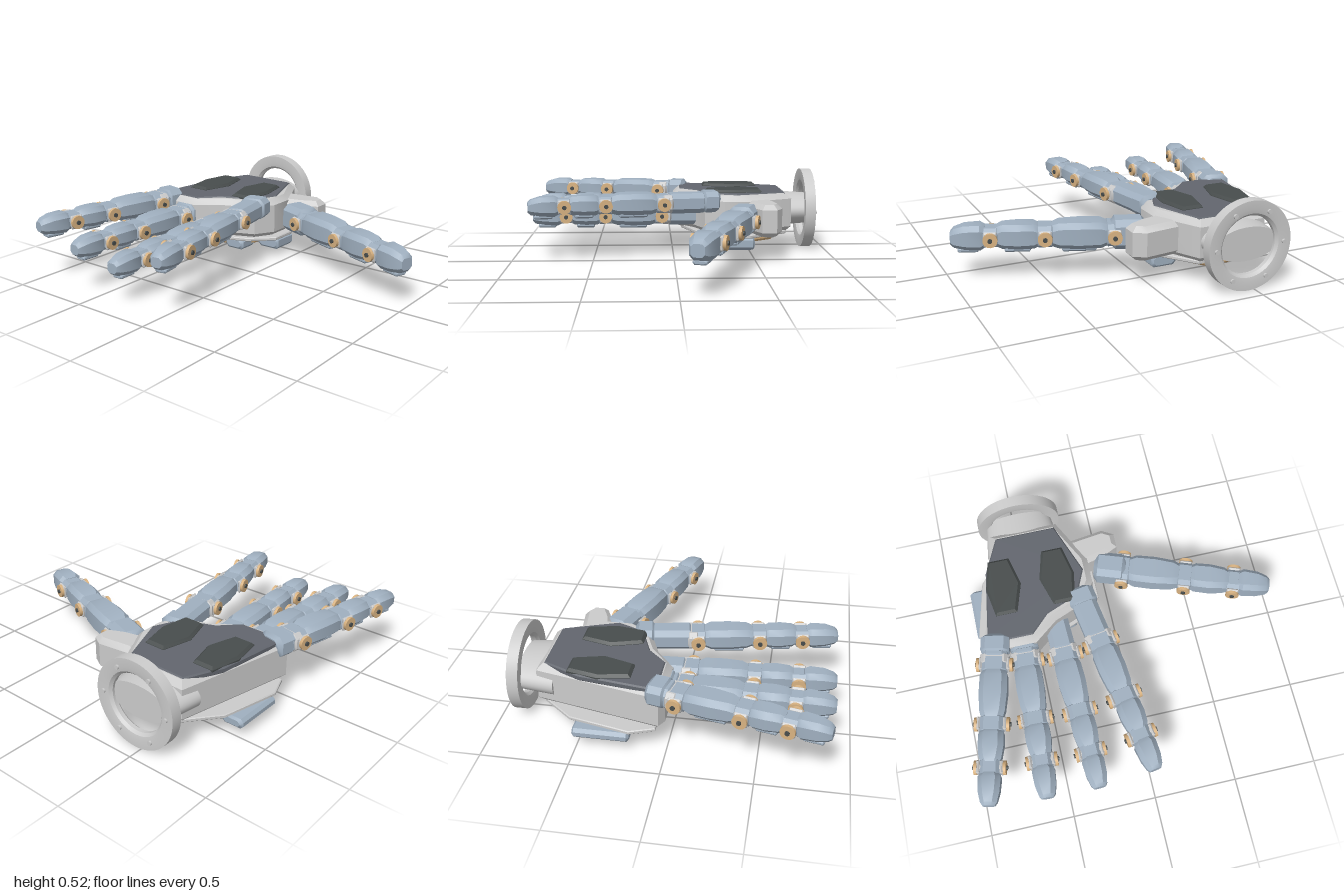
import * as THREE from 'three';
import { toCreasedNormals } from 'three/addons/utils/BufferGeometryUtils.js';

const mat = (color) => new THREE.MeshStandardMaterial({ color });
const GREY = mat(0xcccccc), BLUE = mat(0xa0b0c0), TAN = mat(0xd9b382);
const PANEL = mat(0x62666e), DARK = mat(0x484d4d);

function add(parent, name, geometry, material, x = 0, y = 0, z = 0) {
  const mesh = new THREE.Mesh(geometry, material);
  mesh.name = name;
  mesh.position.set(x, y, z);
  parent.add(mesh);
  return mesh;
}

// Chamfered octagonal sections along z; station = [z, halfWidth, top, bottom, chamfer]
function loft(stations) {
  const pos = [], idx = [], n = 8;
  for (const [z, w, t, b, c] of stations) {
    const ring = [[w, b + c], [w, t - c], [w - c, t], [c - w, t], [-w, t - c], [-w, b + c], [c - w, b], [w - c, b]];
    for (const [x, y] of ring) pos.push(x, y, z);
  }
  const last = (stations.length - 1) * n;
  for (let s = 0; s < last; s += n) {
    for (let i = 0; i < n; i++) {
      const j = (i + 1) % n;
      idx.push(s + i, s + j, s + n + j, s + i, s + n + j, s + n + i);
    }
  }
  for (let i = 1; i < n - 1; i++) idx.push(0, i + 1, i, last, last + i, last + i + 1);
  const g = new THREE.BufferGeometry();
  g.setAttribute('position', new THREE.Float32BufferAttribute(pos, 3));
  g.setIndex(idx);
  return toCreasedNormals(g, 0.6);
}

// Block with softened ends
function block(w, h, d, c = 0.025) {
  const x = w / 2, y = h / 2, z = d / 2, e = c * 0.7;
  return loft([[-z, x - e, y - e, e - y, c], [e - z, x, y, -y, c], [z - e, x, y, -y, c], [z, x - e, y - e, e - y, c]]);
}

// Plate from an [x, z] outline, between heights y0 and y1, with bevelled edges
function plate(outline, y0, y1, bevel) {
  const shape = new THREE.Shape(outline.map(([x, z]) => new THREE.Vector2(x, -z)));
  const g = new THREE.ExtrudeGeometry(shape, {
    depth: y1 - y0 - 2 * bevel, bevelThickness: bevel, bevelSize: bevel, bevelOffset: -bevel, bevelSegments: 1,
  });
  g.rotateX(-Math.PI / 2);
  g.translate(0, y0 + bevel, 0);
  return toCreasedNormals(g, 0.5);
}

// Hinge: housing, cross barrel, and a brass cap with pin at each side
function hinge(parent, z, w, h) {
  const joint = new THREE.Group();
  joint.name = 'hinge';
  joint.position.z = z;
  add(joint, 'hingeHousing', block(w * 0.86, h * 0.82, 0.11), BLUE);
  const disc = (r, len) => new THREE.CylinderGeometry(r, r, len, 24).rotateZ(Math.PI / 2);
  add(joint, 'hingeBarrel', disc(0.031, w + 0.015), GREY);
  for (const s of [-1, 1]) {
    add(joint, 'hingeLug', block(0.02, 0.085, 0.075, 0.009), GREY, s * w * 0.47);
    add(joint, 'hingeCap', disc(0.041, 0.018), TAN, s * (w / 2 + 0.012));
    add(joint, 'hingePin', disc(0.013, 0.012), DARK, s * (w / 2 + 0.024));
  }
  parent.add(joint);
}

// One phalanx from z0 to z1, with a plate on its underside
function phalanx(parent, name, z0, z1, w, h, taper) {
  const x = w / 2, y = h / 2, d = z1 - z0, c = 0.03;
  add(parent, name, loft([
    [z0, x * 0.84, y * 0.8, -y * 0.8, c],
    [z0 + d * 0.12, x * 0.98, y * 0.97, -y * 0.92, c],
    [z0 + d * 0.5, x, y, -y * 0.95, c],
    [z0 + d * 0.86, x * taper, y * 0.96, -y * 0.9, c],
    [z1, x * taper * 0.85, y * 0.75, -y * 0.75, c],
  ]), BLUE);
  add(parent, name + 'Plate', block(w * 0.62, 0.03, d * 0.62, 0.01), BLUE, 0, -y * 0.97, z0 + d * 0.5);
}

// Finger from its first hinge along the given ground direction
function finger(parent, name, { at, toward, lengths, w, h }) {
  const g = new THREE.Group();
  g.name = name;
  g.position.set(...at);
  g.rotation.y = Math.atan2(toward[0] - at[0], toward[1] - at[2]);
  const [a, b, c] = lengths, j2 = a, j3 = a + b, tip = a + b + c;
  hinge(g, 0, w * 1.05, h);
  phalanx(g, 'proximalSegment', 0.04, j2 - 0.035, w, h, 0.9);
  hinge(g, j2, w * 0.98, h * 0.95);
  phalanx(g, 'middleSegment', j2 + 0.035, j3 - 0.03, w * 0.9, h * 0.94, 0.88);
  hinge(g, j3, w * 0.86, h * 0.85);
  // Rounded fingertip with a nail plate
  const x = w * 0.4, y = h * 0.46, z = j3 + 0.03, d = tip - z;
  add(g, 'fingertip', loft([
    [z, x * 0.8, y * 0.8, -y * 0.8, 0.025],
    [z + d * 0.15, x, y, -y, 0.028],
    [z + d * 0.6, x * 0.92, y * 0.95, -y * 0.95, 0.028],
    [z + d * 0.9, x * 0.72, y * 0.7, -y * 0.8, 0.025],
    [tip, x * 0.52, y * 0.4, -y * 0.55, 0.015],
  ]), BLUE);
  add(g, 'fingertipPlate', block(x * 1.1, 0.028, d * 0.6, 0.009), BLUE, 0, -y, z + d * 0.5);
  parent.add(g);
  return g;
}

export function createModel() {
  const hand = new THREE.Group();
  hand.name = 'roboticHand';

  // Palm shell, dark inlay and raised cushions
  add(hand, 'palmShell', plate([[-0.65, -0.76], [-0.81, -0.04], [-0.76, -0.01], [-0.5, -0.01], [-0.36, -0.12],
    [-0.16, -0.2], [-0.09, -0.32], [-0.09, -0.48], [-0.235, -0.76]], 0.14, 0.39, 0.035), GREY);
  add(hand, 'palmInlay', plate([[-0.62, -0.72], [-0.72, -0.5], [-0.78, -0.09], [-0.7, -0.05], [-0.51, -0.05],
    [-0.4, -0.16], [-0.2, -0.24], [-0.13, -0.4], [-0.25, -0.72]], 0.36, 0.397, 0.008), PANEL);
  const cushion = [[-0.07, -0.18], [-0.11, 0], [-0.08, 0.18], [0.05, 0.18], [0.105, 0], [0.06, -0.18]];
  add(hand, 'palmCushion', plate(cushion, 0.375, 0.415, 0.015), DARK, -0.625, 0, -0.39);
  add(hand, 'palmCushion', plate(cushion.map(([x, z]) => [-x, z]).reverse(), 0.375, 0.415, 0.015), DARK, -0.3, 0, -0.39);

  // Back of the hand: backing sheet, brass cover and armour pads
  add(hand, 'backSheet', plate([[-0.62, -0.73], [-0.77, -0.55], [-0.85, -0.2], [-0.8, -0.06], [-0.5, -0.06],
    [-0.2, -0.17], [-0.06, -0.3], [-0.06, -0.48], [-0.25, -0.73]], 0.125, 0.148, 0.005), GREY);
  add(hand, 'backCover', plate([[-0.58, -0.66], [-0.71, -0.5], [-0.71, -0.24], [-0.64, -0.18], [-0.3, -0.18],
    [-0.23, -0.26], [-0.23, -0.5], [-0.34, -0.66]], 0.07, 0.13, 0.015), TAN);
  const pads = [[-0.79, -0.36, 0.14, 0.32, 0.07], [-0.15, -0.42, 0.16, 0.18, 0.05],
    [-0.55, -0.23, 0.14, 0.14, 0.063], [-0.3, -0.23, 0.14, 0.14, 0.06]];
  for (const [x, z, w, d, y] of pads) {
    add(hand, 'backPad', block(w, 0.13 - y, d, 0.018), BLUE, x, (y + 0.13) / 2, z);
  }

  // Wrist: oval neck, flange ring and bolts
  const neck = new THREE.CylinderGeometry(0.235, 0.205, 0.22, 48).rotateX(Math.PI / 2);
  add(hand, 'wristNeck', neck, GREY, -0.46, 0.265, -0.77).scale.y = 0.48;
  const profile = [[0.17, -0.012], [0.185, -0.028], [0.21, -0.033], [0.26, -0.033], [0.26, 0.033], [0.21, 0.033],
    [0.185, 0.028], [0.17, 0.012], [0.17, -0.012]].map(([r, y]) => new THREE.Vector2(r, y));
  const ring = toCreasedNormals(new THREE.LatheGeometry(profile, 64), 0.6).rotateX(Math.PI / 2);
  add(hand, 'wristRing', ring, GREY, -0.46, 0.265, -0.883);
  for (let i = 0; i < 6; i++) {
    const a = i * Math.PI / 3;
    add(hand, 'wristBolt', new THREE.CylinderGeometry(0.013, 0.013, 0.02, 12).rotateX(Math.PI / 2), GREY,
      -0.46 + 0.215 * Math.cos(a), 0.265 + 0.215 * Math.sin(a), -0.917);
  }

  // Four fingers, each with a root block reaching back into the palm
  const fingers = [
    ['littleFinger', -0.77, 0.355, -0.95, 0.89, 0.06],
    ['ringFinger', -0.585, 0.285, -0.62, 0.91, 0.06],
    ['middleFinger', -0.35, 0.24, -0.315, 0.91, 0.22],
    ['indexFinger', -0.125, 0.345, 0.015, 0.895, 0.25],
  ];
  for (const [name, x, y, tx, tz, reach] of fingers) {
    const g = finger(hand, name, { at: [x, y, 0.075], toward: [tx, tz], lengths: [0.362, 0.252, 0.216], w: 0.165, h: 0.135 });
    add(g, 'knuckleYoke', block(0.17, 0.11, 0.08), GREY, 0, 0, -0.03);
    add(g, 'knuckleNeck', block(0.15, 0.125, reach, 0.03), BLUE, 0, 0, -0.03 - reach / 2);
    add(g, 'fingerRoot', block(0.17, 0.13, 0.12, 0.03), BLUE, 0, 0.005, -0.06 - reach);
  }

  // Thumb with its base block on the side of the palm
  add(hand, 'thumbBase', plate([[-0.18, -0.63], [-0.18, -0.44], [0.0, -0.48], [0.11, -0.53], [0.11, -0.62],
    [0.04, -0.66]], 0.16, 0.36, 0.03), GREY);
  const thumb = finger(hand, 'thumb', { at: [0.12, 0.265, -0.395], toward: [0.98, -0.09], lengths: [0.39, 0.305, 0.225], w: 0.18, h: 0.16 });
  add(thumb, 'thumbKnuckle', block(0.165, 0.175, 0.2, 0.035), BLUE, 0, 0, -0.08);
  return hand;
}
